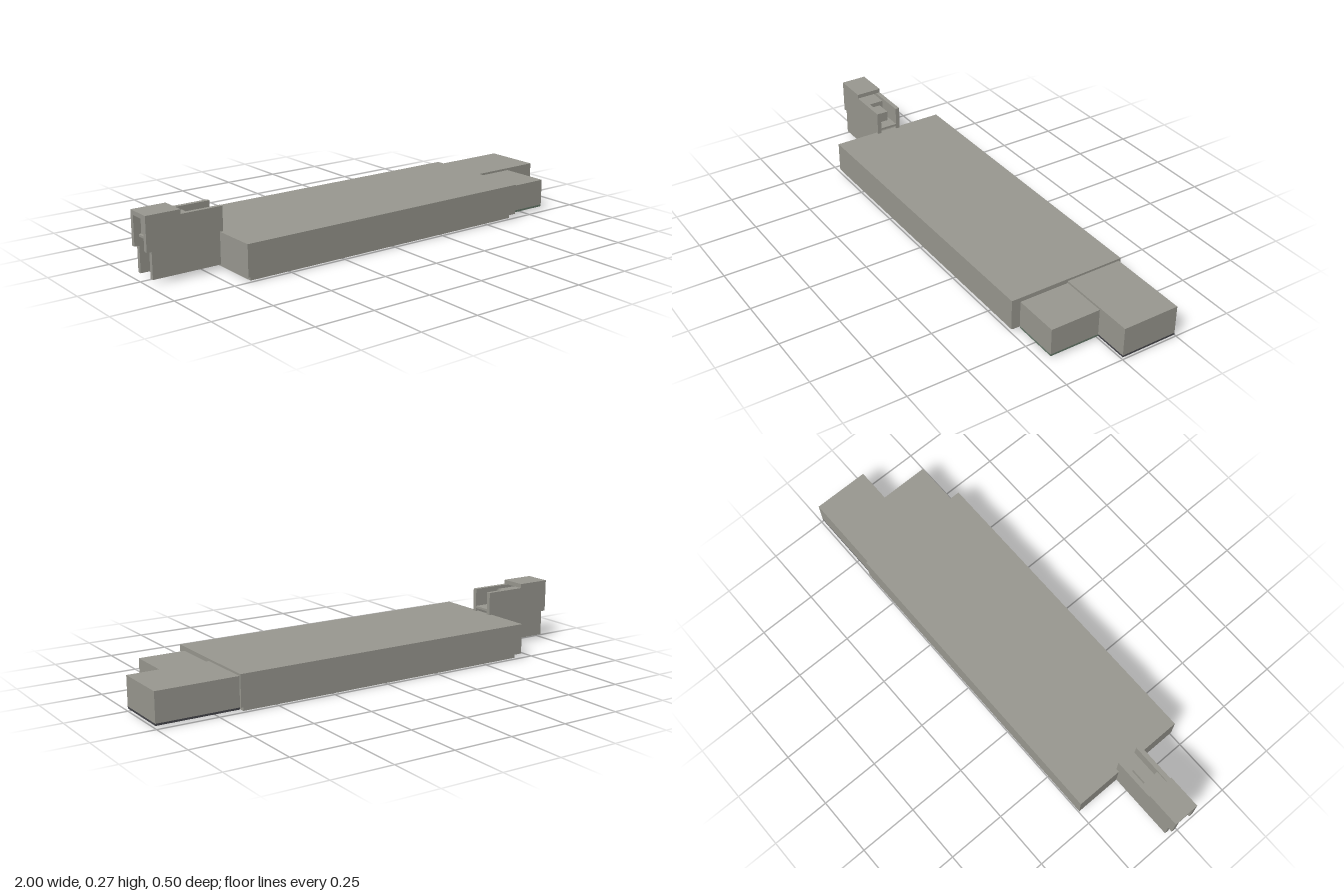
import * as THREE from 'three';

export function createModel() {
  const model = new THREE.Group();
  const material = (name, color) => {
    const m = new THREE.MeshStandardMaterial({ color });
    m.name = name;
    return m;
  };
  const grey = material('warm grey', 0x9a9991);
  const dark = material('dark grey', 0x47474c);
  const green = material('grey green', 0x687b6c);

  // Box given by its limits on each axis
  const box = (name, [x0, x1], [y0, y1], [z0, z1], mat = grey, parent = model) => {
    const mesh = new THREE.Mesh(new THREE.BoxGeometry(x1 - x0, y1 - y0, z1 - z0), mat);
    mesh.position.set((x0 + x1) / 2, (y0 + y1) / 2, (z0 + z1) / 2);
    mesh.name = name;
    parent.add(mesh);
  };

  // Main slab on its inset base
  box('mainBody', [-0.692, 0.66], [0.02, 0.149], [-0.25, 0.252]);
  box('basePlate', [-0.672, 0.642], [0, 0.02], [-0.233, 0.234]);

  // Two end blocks, each on a coloured underside plate
  box('longEndBlock', [0.66, 1], [0.019, 0.14], [-0.241, 0]);
  box('longEndUnderside', [0.66, 1], [0.011, 0.019], [-0.241, 0], dark);
  box('shortEndBlock', [0.66, 0.855], [0.019, 0.131], [0, 0.214]);
  box('shortEndUnderside', [0.66, 0.855], [0.011, 0.019], [0, 0.214], green);

  // Hollow connector: two stepped side walls around a raised channel
  const connector = new THREE.Group();
  connector.name = 'connector';
  model.add(connector);
  const profile = [[-1, 0.127], [-0.98, 0.127], [-0.98, 0.02], [-0.678, 0.02],
    [-0.678, 0.248], [-0.855, 0.248], [-0.855, 0.266], [-1, 0.266]];
  const wallShape = new THREE.Shape(profile.map(([x, y]) => new THREE.Vector2(x, y)));
  const wallGeometry = new THREE.ExtrudeGeometry(wallShape, { depth: 0.018, bevelEnabled: false });
  for (const [name, z] of [['frontWall', 0.043], ['backWall', -0.05]]) {
    const wall = new THREE.Mesh(wallGeometry, grey);
    wall.position.z = z;
    wall.name = name;
    connector.add(wall);
  }
  const inner = [-0.032, 0.043];
  box('connectorCap', [-1, -0.855], [0.248, 0.266], inner, grey, connector);
  box('channelFloor', [-0.98, -0.678], [0.163, 0.172], inner, grey, connector);
  box('innerBlock', [-0.97, -0.8], [0.172, 0.234], inner, grey, connector);
  box('innerStep', [-0.8, -0.73], [0.172, 0.215], [-0.018, 0.03], grey, connector);

  return model;
}
